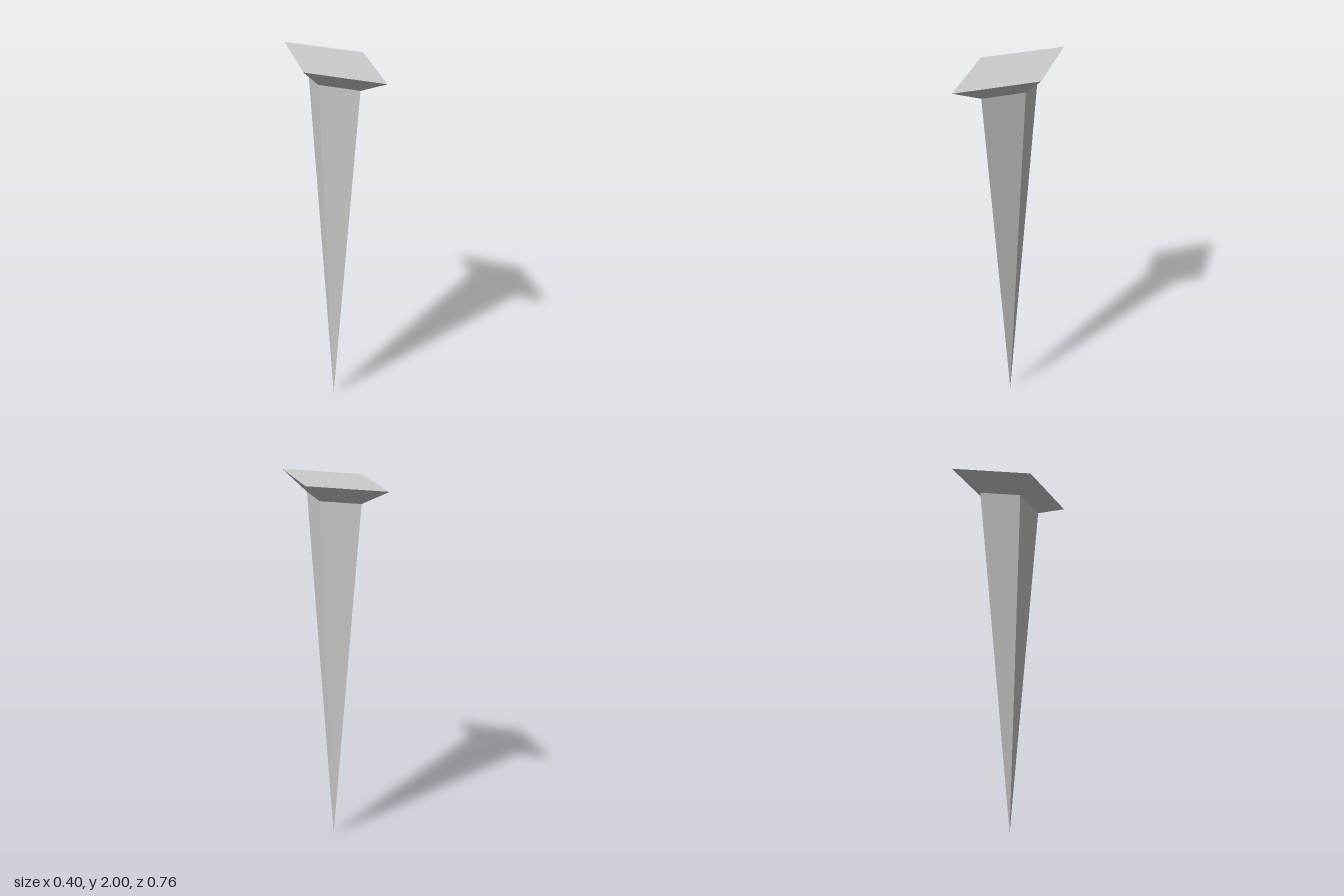
import * as THREE from 'three';

const NECK_Y = 1.91, TOP_Y = 2, NECK_SCALE = 0.513;

export function createModel() {
  const model = new THREE.Group();
  model.name = 'spike';
  const material = new THREE.MeshStandardMaterial({ color: 0xcccccc, flatShading: true });

  // Slightly skewed diamond: unit x and z corners map to its right and front corners
  const diamond = new THREE.Matrix4().makeBasis(
    new THREE.Vector3(0.199, 0, -0.015),
    new THREE.Vector3(0, 1, 0),
    new THREE.Vector3(0.015, 0, 0.38)
  );

  // Four-sided tapered section between two heights
  function addSection(name, topRadius, bottomRadius, y0, y1, open) {
    const geometry = new THREE.CylinderGeometry(topRadius, bottomRadius, y1 - y0, 4, 1, open);
    geometry.translate(0, (y0 + y1) / 2, 0).applyMatrix4(diamond);
    const mesh = new THREE.Mesh(geometry, material);
    mesh.name = name;
    model.add(mesh);
  }

  // Long shaft narrowing to a point
  addSection('shaft', NECK_SCALE, 0, 0, NECK_Y, true);
  // Flared flat-topped head
  addSection('head', 1, NECK_SCALE, NECK_Y, TOP_Y, false);

  return model;
}
